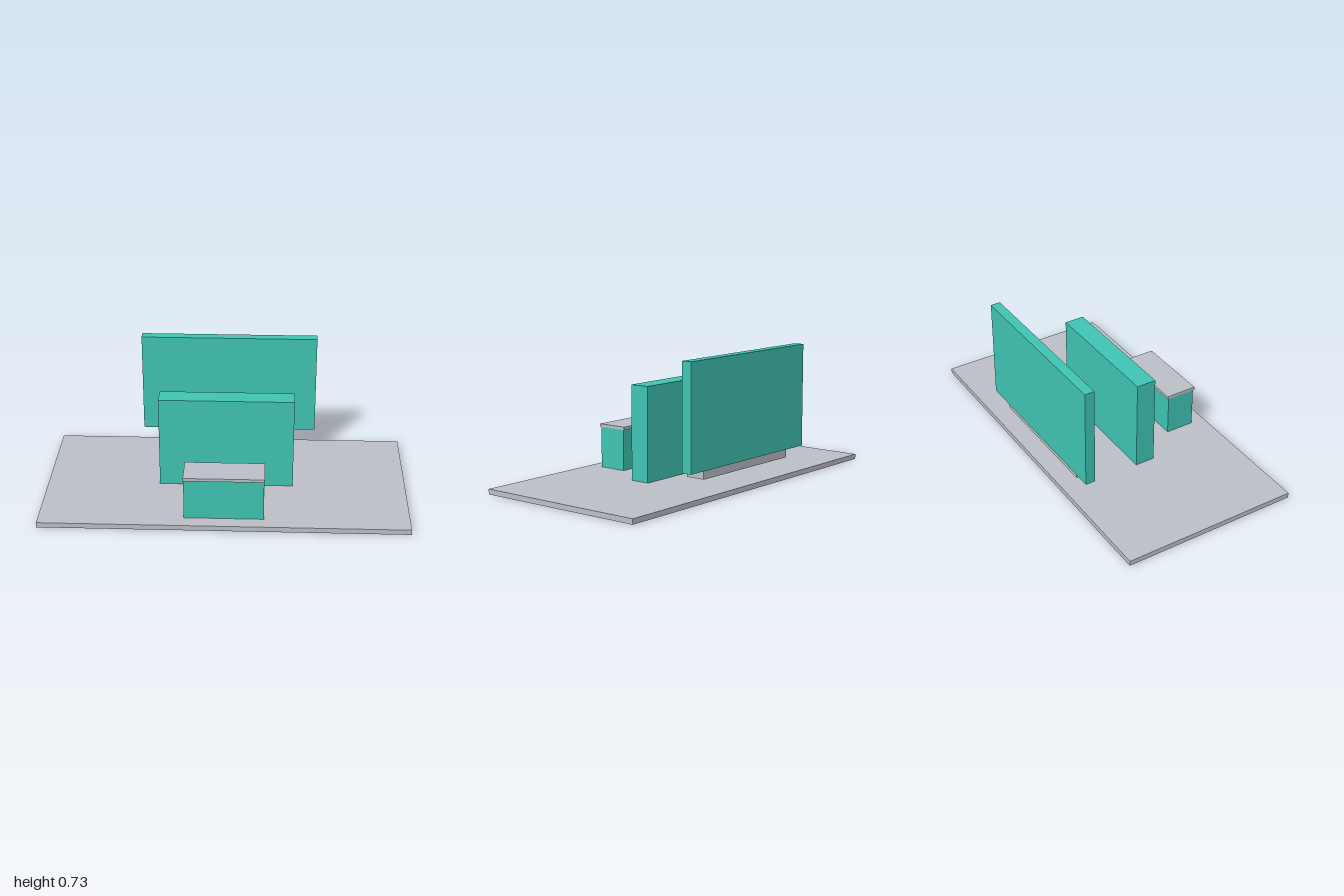
import * as THREE from 'three';

export function createModel() {
  const group = new THREE.Group();
  group.name = 'receptionStand';

  const teal = new THREE.MeshStandardMaterial({ color: 0x40c4b4 });
  teal.name = 'teal';
  const grey = new THREE.MeshStandardMaterial({ color: 0xbcc0c7 });
  grey.name = 'light grey';

  // Box given by its width (centred on x), height range and depth range
  function slab(name, material, width, [y0, y1], [z0, z1]) {
    const mesh = new THREE.Mesh(new THREE.BoxGeometry(width, y1 - y0, z1 - z0), material);
    mesh.name = name;
    mesh.position.set(0, (y0 + y1) / 2, (z0 + z1) / 2);
    group.add(mesh);
  }

  // Floor platform; the wall and counter pass through it and show underneath
  slab('floorPlatform', grey, 2, [0.001, 0.03], [-0.5, 0.5]);

  // Middle wall
  slab('middleWall', teal, 0.744, [0, 0.551], [-0.056, 0.056]);

  // Front counter with its overhanging top
  slab('counterBody', teal, 0.43, [0, 0.26], [0.256, 0.42]);
  slab('counterTop', grey, 0.434, [0.26, 0.277], [0.249, 0.428]);

  // Raised back panel with the ledge below it
  slab('backPanel', teal, 1, [0.152, 0.727], [-0.453, -0.397]);
  slab('backLedge', grey, 0.744, [0.102, 0.152], [-0.435, -0.324]);

  return group;
}
